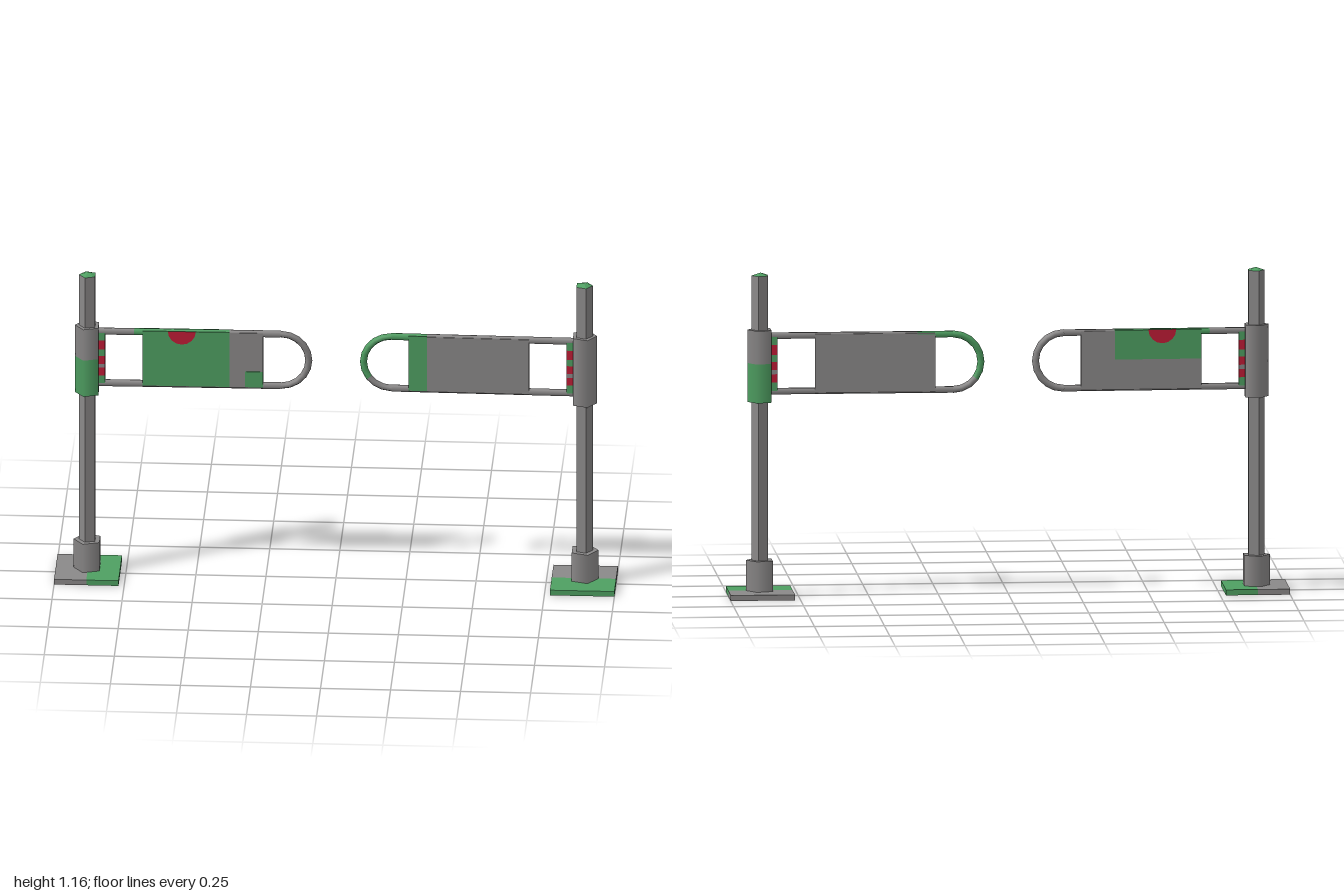
import * as THREE from 'three';

const POST_X = 0.885;   // distance of each post from the centre
const MID_Y = 0.8375;   // height of the gate's centre line
const LOOP_R = 0.1;
const TUBE_R = 0.0125;

export function createModel() {
  const grey = new THREE.MeshStandardMaterial({ color: 0x8b8989 });
  grey.name = 'steelGrey';
  const green = new THREE.MeshStandardMaterial({ color: 0x4fa062 });
  green.name = 'signGreen';
  const red = new THREE.MeshStandardMaterial({ color: 0xc01c36 });
  red.name = 'signRed';
  const flat = (g) => {
    const f = g.toNonIndexed();
    f.computeVertexNormals();
    return f;
  };

  const add = (parent, name, geometry, material, x = 0, y = 0, z = 0) => {
    const mesh = new THREE.Mesh(geometry, material);
    mesh.name = name;
    mesh.position.set(x, y, z);
    parent.add(mesh);
    return mesh;
  };

  // Five-sided column between two heights, one corner pointing outwards
  const penta = (r0, r1, h, open = false, face = 0, faces = 5) =>
    new THREE.CylinderGeometry(r1, r0, h, faces, 1, open,
      Math.PI / 2 + face * Math.PI * 0.4, faces * Math.PI * 0.4);

  // Post with foot collar, hinge sleeve and pointed cap; +x is the outside
  function makePost() {
    const post = new THREE.Group();
    post.name = 'post';
    add(post, 'footCollar', penta(0.052, 0.052, 0.11), grey, 0, 0.075);
    add(post, 'shaft', flat(penta(0.032, 0.032, 1.135)), grey, 0, 0.5875);
    add(post, 'cap', flat(penta(0.032, 0.001, 0.01)), green, 0, 1.16);
    add(post, 'upperSleeve', penta(0.047, 0.047, 0.12), grey, 0, 0.9);
    add(post, 'lowerSleevePainted', penta(0.047, 0.047, 0.14, true, 0, 2), green, 0, 0.77);
    add(post, 'lowerSleeve', penta(0.047, 0.047, 0.14, true, 2, 3), grey, 0, 0.77);
    const end = new THREE.CircleGeometry(0.047, 5).rotateX(Math.PI / 2);
    add(post, 'sleeveBottom', end, grey, 0, 0.7);
    return post;
  }

  // Two-tone floor plate, split along x or along z
  function makeBase(side) {
    const base = new THREE.Group();
    base.name = 'basePlate';
    for (const s of [-1, 1]) {
      const alongX = side < 0;
      const geo = new THREE.BoxGeometry(alongX ? 0.115 : 0.23, 0.02, alongX ? 0.23 : 0.115);
      add(base, s > 0 ? 'paintedHalf' : 'plainHalf', geo, s > 0 ? green : grey,
        alongX ? s * 0.0575 : 0, 0.01, alongX ? 0 : s * 0.0575);
    }
    return base;
  }

  // Swing gate; d is the distance from the post towards the centre
  function makeGate(side) {
    const gate = new THREE.Group();
    gate.name = 'gate';
    const left = side < 0;
    const X = (d) => -side * d;

    const rail = (name, d0, d1, y, mat) => {
      const geo = new THREE.CylinderGeometry(TUBE_R, TUBE_R, d1 - d0, 6, 1, true).rotateZ(Math.PI / 2);
      add(gate, name, geo, mat, X((d0 + d1) / 2), y);
    };
    const loopD = POST_X - 0.1975;
    const top = MID_Y + LOOP_R, bottom = MID_Y - LOOP_R;
    rail('bottomRail', 0.035, loopD, bottom, grey);
    if (left) {
      rail('topRailInner', 0.035, 0.165, top, grey);
      rail('topRailPainted', 0.165, 0.505, top, green);
      rail('topRailOuter', 0.505, loopD, top, grey);
    } else {
      rail('topRail', 0.035, 0.56, top, grey);
      rail('topRailPainted', 0.56, loopD, top, green);
    }

    // Rounded end, in two arcs so that its lower part can stay plain
    const arc = (name, start, segments, mat) => {
      const step = Math.PI / 10;
      const geo = new THREE.TorusGeometry(LOOP_R, TUBE_R, 6, segments, segments * step);
      geo.rotateZ(start * step - Math.PI / 2);
      if (!left) geo.rotateX(Math.PI).rotateZ(Math.PI);
      add(gate, name, geo, mat, X(loopD), MID_Y);
    };
    arc('loopLower', 0, 3, grey);
    arc('loopUpper', 3, 7, left ? grey : green);

    // Banded hinge bar
    const bands = [[0.74, green], [0.77, red], [0.8, grey], [0.815, red],
      [0.845, green], [0.87, red], [0.905, green], [0.935, null]];
    for (let i = 0; i < bands.length - 1; i++) {
      const h = bands[i + 1][0] - bands[i][0];
      add(gate, 'hingeBand', new THREE.BoxGeometry(0.024, h, 0.022), bands[i][1],
        X(0.049), bands[i][0] + h / 2);
    }

    // Panel filling the middle of the frame
    const thick = 0.024;
    add(gate, 'panel', new THREE.BoxGeometry(0.43, 0.211, thick), grey, X(0.41), MID_Y);

    // Thin painted plates on the panel faces
    const plate = (name, d0, d1, y0, y1, face) =>
      add(gate, name, new THREE.BoxGeometry(d1 - d0, y1 - y0, 0.002), green,
        X((d0 + d1) / 2), (y0 + y1) / 2, face * (thick / 2 + 0.001));
    if (left) {
      plate('frontField', 0.195, 0.505, 0.735, 0.946, 1);
      plate('frontCornerPatch', 0.56, 0.625, 0.735, 0.795, 1);
      plate('backField', 0.195, 0.505, 0.84, 0.946, -1);
      for (const face of [1, -1]) {
        const disc = new THREE.CircleGeometry(0.05, 8, Math.PI, Math.PI);
        if (face < 0) disc.rotateY(Math.PI);
        add(gate, 'halfDisc', disc, red, X(0.335), 0.947, face * (thick / 2 + 0.004));
      }
    } else {
      plate('frontStrip', 0.56, 0.625, 0.735, 0.946, 1);
    }
    return gate;
  }

  const model = new THREE.Group();
  model.name = 'swingGates';
  for (const side of [-1, 1]) {
    const unit = new THREE.Group();
    unit.name = side < 0 ? 'rightGateUnit' : 'leftGateUnit';
    unit.position.x = side * POST_X;
    const post = makePost();
    if (side < 0) post.rotation.y = Math.PI;
    const gate = makeGate(side);
    gate.rotation.y = -side * 0.0125; // gates lean slightly backwards
    unit.add(makeBase(side), post, gate);
    model.add(unit);
  }
  return model;
}
